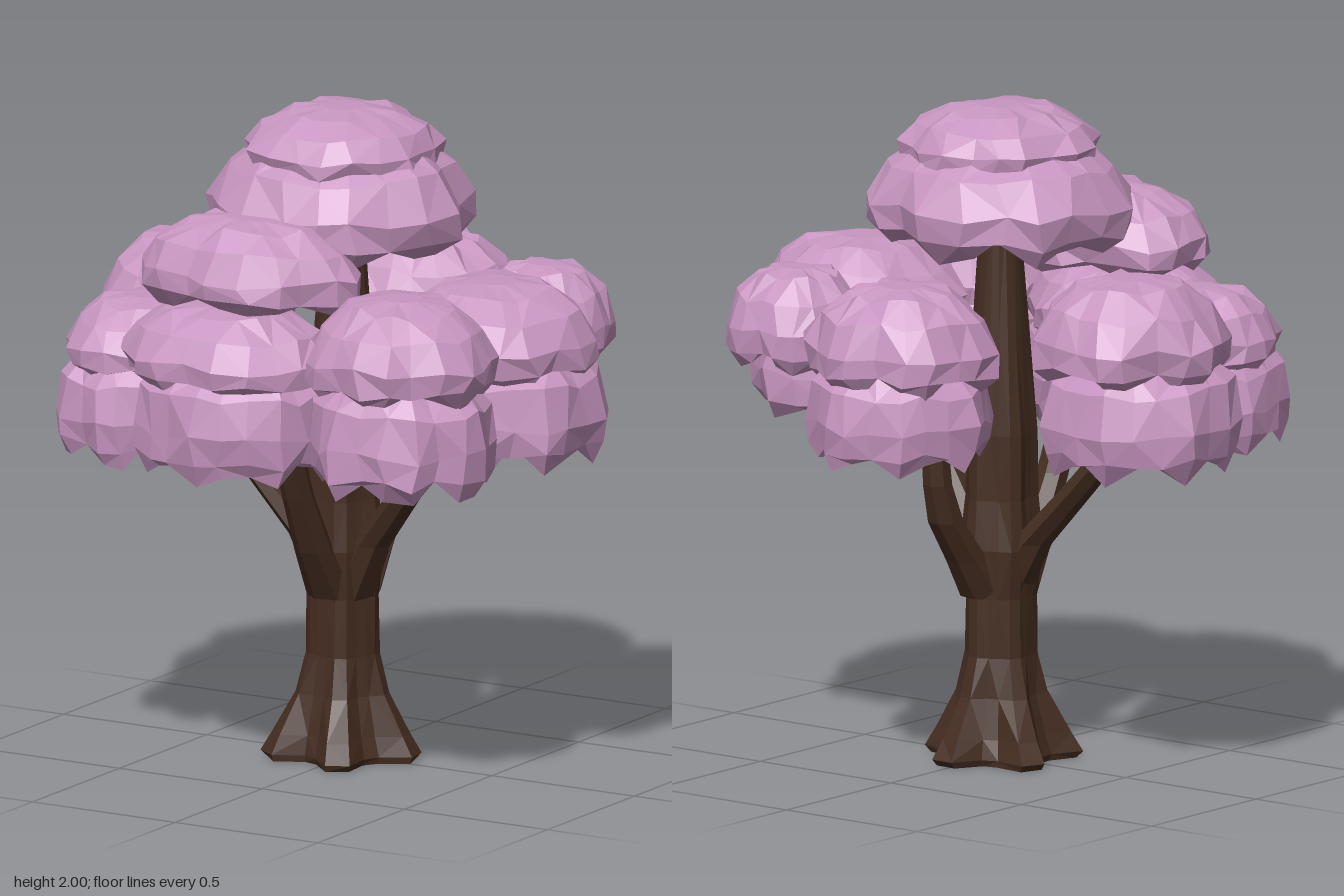
import * as THREE from 'three';

const blossom = new THREE.MeshStandardMaterial({ color: 0xc896c1 });
blossom.name = 'blossom pink';
const bark = new THREE.MeshStandardMaterial({ color: 0x452d21 });
bark.name = 'bark brown';

// Small seeded random generator, values from -1 to 1
function seeded(seed) {
  let s = seed * 7919 + 17;
  return () => {
    s = (s * 16807) % 2147483647;
    return (s / 2147483647) * 2 - 1;
  };
}

// Faceted skin over closed rings listed from top to bottom, capped at both ends
function loft(rings) {
  const pos = [];
  const tri = (a, b, c) => pos.push(...a, ...b, ...c);
  const n = rings[0].length;
  const middle = (ring) => [0, 1, 2].map((k) => ring.reduce((t, p) => t + p[k], 0) / n);
  const last = rings[rings.length - 1];
  const top = middle(rings[0]);
  const bottom = middle(last);
  for (let j = 0; j < n; j++) {
    const k = (j + 1) % n;
    tri(top, rings[0][k], rings[0][j]);
    for (let i = 0; i < rings.length - 1; i++) {
      const a = rings[i][j], b = rings[i][k], c = rings[i + 1][j], d = rings[i + 1][k];
      if ((i + j) % 2) { tri(a, b, c); tri(b, d, c); }
      else { tri(a, b, d); tri(a, d, c); }
    }
    tri(bottom, last[j], last[k]);
  }
  const geo = new THREE.BufferGeometry();
  geo.setAttribute('position', new THREE.Float32BufferAttribute(pos, 3));
  geo.computeVertexNormals();
  return geo;
}

function ringOf(n, fn) {
  return Array.from({ length: n }, (_, j) => fn((j / n) * Math.PI * 2));
}

// Profiles: radius, height (1 top, 0 rim), how strongly the lobes show
const DOME = [[0.22, 1, 0], [0.55, 0.93, 0.2], [0.82, 0.72, 0.5], [0.98, 0.42, 0.9],
  [0.96, 0.2, 1], [0.8, 0, 1], [0.5, 0.16, 0.4], [0.15, 0.3, 0]];
const SKIRT = [[0.2, 1, 0], [0.7, 0.95, 0.3], [0.93, 0.75, 0.7], [1, 0.42, 1],
  [0.97, 0.2, 1], [0.86, 0, 1], [0.7, 0.28, 0.6], [0.2, 0.6, 0]];

// Puff of blossom with a scalloped rim and a hollow underside
function puff(name, profile, [x, z], [y0, y1], [rx, rz], lobes, seed) {
  const rnd = seeded(seed);
  const phase = seed * 1.3;
  const h = y1 - y0;
  const rings = profile.map(([r, v, w], i) => ringOf(20, (t) => {
    const lobe = Math.abs(Math.cos((t * lobes + phase) / 2));
    const k = r * (1 + w * (0.13 * lobe - 0.09) + 0.035 * rnd());
    const lift = i === 5 ? 0.28 * (1 - lobe) : 0;
    const y = i === 0 ? v : v + lift + 0.045 * rnd();
    const a = t + 0.07 * rnd();
    return [x + Math.cos(a) * rx * k, y0 + h * Math.max(0, Math.min(1, y)), z + Math.sin(a) * rz * k];
  }));
  const mesh = new THREE.Mesh(loft(rings), blossom);
  mesh.name = name;
  return mesh;
}

// Limb from [x, y, z, radius] stations, bottom to top
function limb(name, stations) {
  const rings = stations.slice().reverse().map(([x, y, z, r]) =>
    ringOf(7, (t) => [x + Math.cos(t) * r, y, z + Math.sin(t) * r]));
  const mesh = new THREE.Mesh(loft(rings), bark);
  mesh.name = name;
  return mesh;
}

// Trunk with five flared roots: [height, radius, root depth]
function makeTrunk() {
  const stations = [[1.66, 0.06, 0], [1.3, 0.085, 0.05], [1, 0.105, 0.08], [0.8, 0.105, 0.1],
    [0.65, 0.12, 0.1], [0.5, 0.105, 0.06], [0.32, 0.105, 0.08], [0.2, 0.13, 0.15],
    [0.08, 0.175, 0.25], [0.02, 0.2, 0.28], [0, 0.19, 0.28]];
  const rnd = seeded(5);
  const rings = stations.map(([y, r, d]) => ringOf(20, (t) => {
    const k = r * (1 + d * Math.cos(5 * t + 0.7) + 0.03 * rnd());
    return [-0.02 + Math.cos(t) * k, y, Math.sin(t) * k];
  }));
  const mesh = new THREE.Mesh(loft(rings), bark);
  mesh.name = 'trunk';
  return mesh;
}

export function createModel() {
  const tree = new THREE.Group();
  tree.name = 'blossomTree';

  // Trunk and branches
  tree.add(
    makeTrunk(),
    limb('rightBranch', [[-0.02, 0.48, 0, 0.08], [-0.13, 0.67, 0.01, 0.065], [-0.3, 0.85, 0.02, 0.055],
      [-0.46, 1.03, 0.03, 0.05], [-0.52, 1.18, 0.03, 0.035]]),
    limb('leftBranch', [[0, 0.48, 0, 0.08], [0.1, 0.67, 0.03, 0.06], [0.25, 0.86, 0.07, 0.055],
      [0.37, 1.03, 0.1, 0.05], [0.46, 1.24, 0.12, 0.035]]),
    limb('frontBranch', [[-0.03, 0.5, 0.04, 0.08], [-0.03, 0.66, 0.15, 0.06], [-0.03, 0.84, 0.24, 0.05],
      [-0.03, 1.02, 0.31, 0.045], [-0.04, 1.24, 0.36, 0.035]]),
    limb('backBranch', [[0, 0.5, -0.04, 0.08], [0.01, 0.62, -0.12, 0.065], [0.02, 0.75, -0.21, 0.055],
      [0.02, 0.87, -0.25, 0.045], [0.02, 1.02, -0.265, 0.04], [0.02, 1.24, -0.3, 0.035]]),
  );

  // Canopy: name, profile, centre x z, bottom and top, radii x z, lobes
  const puffs = [
    ['crownCap', DOME, [-0.02, 0], [1.8, 2], [0.3, 0.3], 7],
    ['crown', DOME, [-0.03, 0], [1.56, 1.93], [0.41, 0.39], 7],
    ['middleFrontPuff', DOME, [-0.12, 0.37], [1.45, 1.72], [0.37, 0.24], 5],
    ['leftPuff', DOME, [0.51, 0.01], [1.24, 1.53], [0.32, 0.31], 6],
    ['leftSkirt', SKIRT, [0.54, 0.01], [0.99, 1.34], [0.32, 0.31], 7],
    ['frontLeftPuff', DOME, [0.44, 0.42], [1.24, 1.55], [0.3, 0.27], 6],
    ['frontLeftSkirt', SKIRT, [0.45, 0.43], [0.96, 1.32], [0.29, 0.27], 7],
    ['frontPuff', DOME, [-0.14, 0.47], [1.22, 1.47], [0.35, 0.27], 6],
    ['frontSkirt', SKIRT, [-0.1, 0.48], [0.96, 1.32], [0.32, 0.27], 7],
    ['frontRightPuff', DOME, [-0.48, 0.38], [1.2, 1.44], [0.25, 0.25], 5],
    ['frontRightSkirt', SKIRT, [-0.49, 0.4], [0.95, 1.28], [0.25, 0.25], 6],
    ['rightPuff', DOME, [-0.54, -0.02], [1.22, 1.54], [0.3, 0.31], 6],
    ['rightSkirt', SKIRT, [-0.57, -0.02], [0.95, 1.32], [0.29, 0.3], 7],
    ['backPuff', DOME, [-0.02, -0.47], [1.21, 1.52], [0.31, 0.27], 6],
    ['backSkirt', SKIRT, [-0.02, -0.48], [0.98, 1.3], [0.28, 0.27], 7],
    ['backLeftPuff', DOME, [0.46, -0.37], [1.2, 1.5], [0.22, 0.21], 5],
  ];
  const canopy = new THREE.Group();
  canopy.name = 'canopy';
  puffs.forEach((p, i) => canopy.add(puff(...p, i + 3)));
  tree.add(canopy);
  return tree;
}
